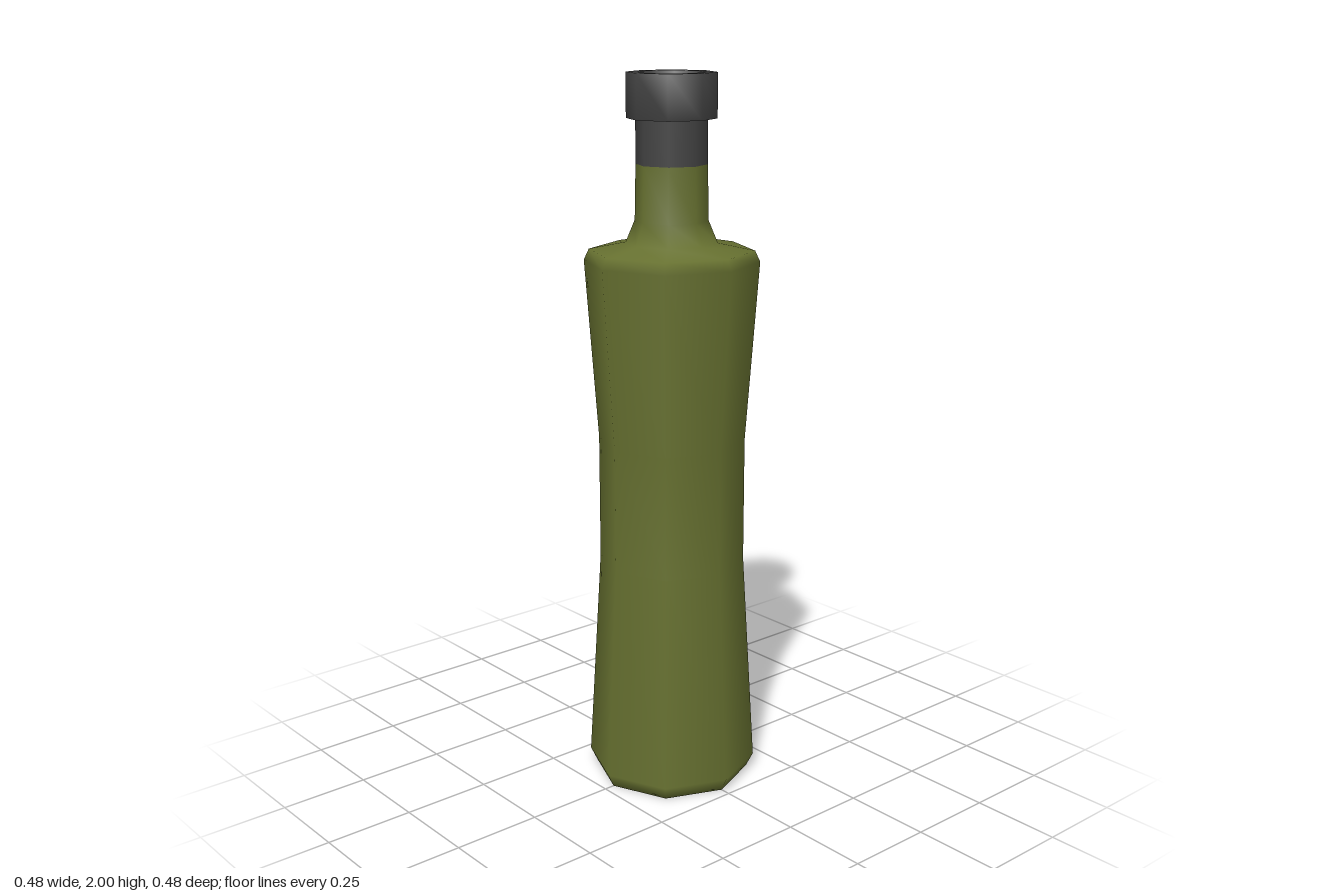
import * as THREE from 'three';

const SIDES = 8;

// Octagonal turned part from [radius, height] pairs, listed bottom to top along the outside
function turned(name, points, material) {
  const profile = points.map(([r, y]) => new THREE.Vector2(r, y));
  const mesh = new THREE.Mesh(new THREE.LatheGeometry(profile, SIDES), material);
  mesh.name = name;
  return mesh;
}

export function createModel() {
  const green = new THREE.MeshStandardMaterial({ color: 0x667030 });
  green.name = 'olive green glass';
  const dark = new THREE.MeshStandardMaterial({ color: 0x424242 });
  dark.name = 'dark grey cap';

  const bottle = new THREE.Group();
  bottle.name = 'bottle';

  // Waisted body with base, shoulder and lower neck
  bottle.add(turned('body', [
    [0, 0.01], [0.22, 0], [0.24, 0.04], [0.204, 0.65], [0.204, 1.0],
    [0.24, 1.5], [0.226, 1.53], [0.125, 1.55], [0.1, 1.61], [0.097, 1.76],
  ], green));

  // Dark sleeve around the upper neck
  bottle.add(turned('neckSleeve', [[0.097, 1.76], [0.097, 1.88]], dark));

  // Wide collar with a recessed mouth
  bottle.add(turned('collar', [
    [0.097, 1.88], [0.122, 1.88], [0.122, 2.0], [0.092, 2.0], [0.088, 1.9], [0, 1.9],
  ], dark));

  return bottle;
}
